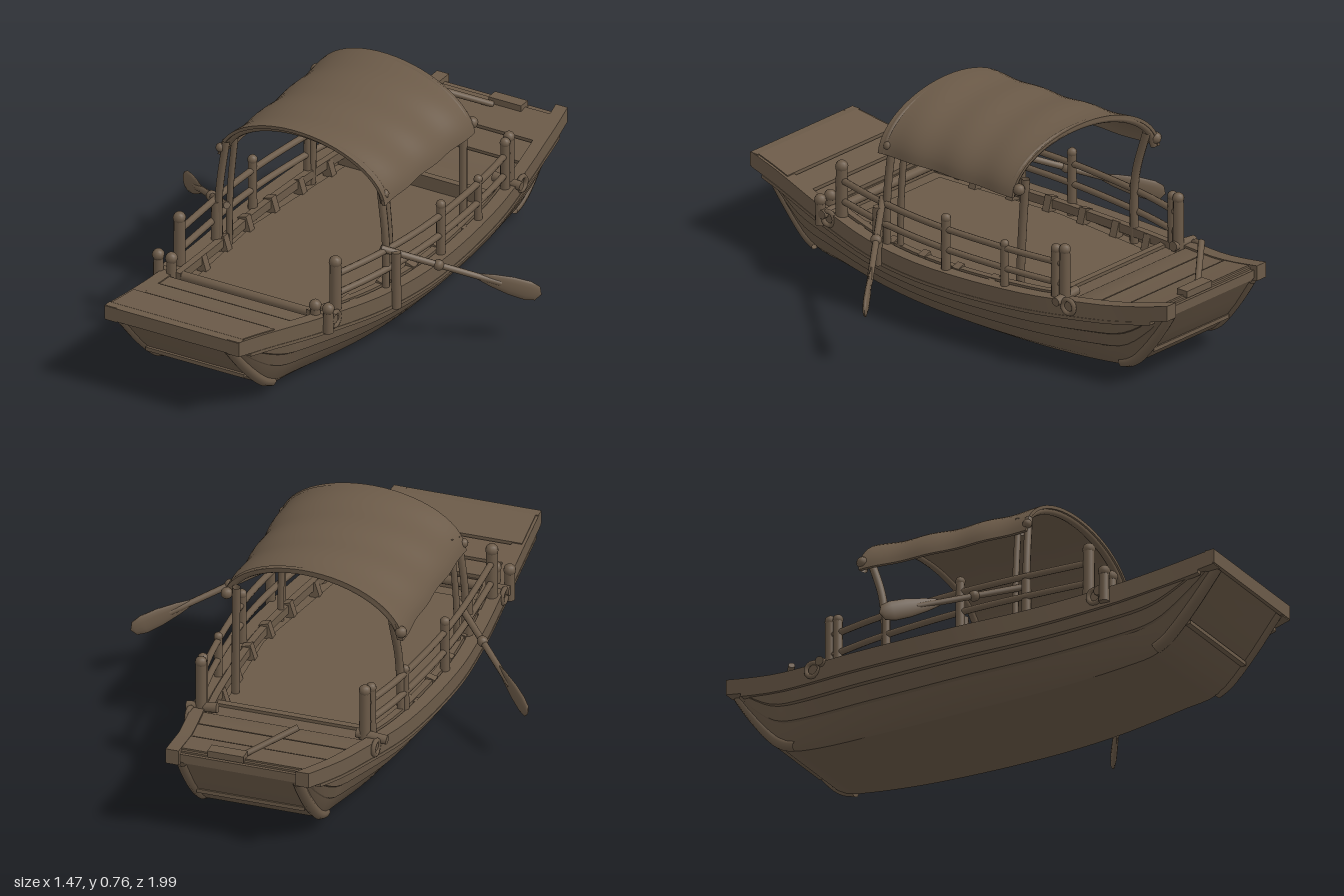
import * as THREE from 'three';
import { toCreasedNormals } from 'three/addons/utils/BufferGeometryUtils.js';

const V = (x, y, z) => new THREE.Vector3(x, y, z);

// Hull stations: z, left rim x, right rim x, rim y, keel y, half width of the flat bottom
const STATIONS = [
  [-0.98, -0.25, 0.27, 0.335, 0.29, 0.2],
  [-0.9, -0.27, 0.28, 0.315, 0.17, 0.2],
  [-0.8, -0.295, 0.29, 0.293, 0.06, 0.2],
  [-0.7, -0.32, 0.305, 0.278, 0.03, 0.2],
  [-0.4, -0.395, 0.345, 0.25, 0.006, 0.22],
  [0, -0.435, 0.355, 0.235, 0, 0.23],
  [0.3, -0.428, 0.315, 0.238, 0.004, 0.22],
  [0.6, -0.408, 0.235, 0.264, 0.02, 0.2],
  [0.74, -0.4, 0.195, 0.283, 0.04, 0.2],
  [0.85, -0.395, 0.165, 0.3, 0.13, 0.2],
  [0.98, -0.39, 0.14, 0.322, 0.28, 0.2],
];

// Smooth value of one station column at z
function at(z, col) {
  let i = 0;
  while (i < STATIONS.length - 2 && z > STATIONS[i + 1][0]) i++;
  const S = (k) => STATIONS[THREE.MathUtils.clamp(k, 0, STATIONS.length - 1)];
  const slope = (a, b) => (b[col] - a[col]) / (b[0] - a[0]);
  const p = S(i), q = S(i + 1), h = q[0] - p[0], t = (z - p[0]) / h;
  const m0 = slope(S(i - 1), q) * h, m1 = slope(p, S(i + 2)) * h;
  const t2 = t * t, t3 = t2 * t;
  return (2 * t3 - 3 * t2 + 1) * p[col] + (t3 - 2 * t2 + t) * m0 + (3 * t2 - 2 * t3) * q[col] + (t3 - t2) * m1;
}
const rimX = (z, s) => at(z, s > 0 ? 2 : 1);
const rimY = (z) => at(z, 3);
const deckY = (z) => (z > 0.6 || z < -0.5 ? rimY(z) - 0.012 : 0.2);

// Closed solid through rings of points (counter-clockwise seen from +z, running towards +z)
function loft(rings, crease = 0.5) {
  const n = rings[0].length, idx = [];
  for (let i = 0; i < rings.length - 1; i++)
    for (let j = 0; j < n; j++) {
      const k = (j + 1) % n, a = i * n + j, b = i * n + k;
      idx.push(a, b, b + n, a, b + n, a + n);
    }
  const cap = (r, base, flip) => {
    const flat = r.map((p) => new THREE.Vector2(p.x, p.y));
    for (const [a, b, c] of THREE.ShapeUtils.triangulateShape(flat, []))
      idx.push(base + a, base + (flip ? c : b), base + (flip ? b : c));
  };
  cap(rings[0], 0, true);
  cap(rings[rings.length - 1], (rings.length - 1) * n, false);
  const g = new THREE.BufferGeometry().setFromPoints(rings.flat());
  g.setIndex(idx);
  return toCreasedNormals(g, crease);
}

const rect = (x0, x1, y0, y1, z) => [V(x1, y0, z), V(x1, y1, z), V(x0, y1, z), V(x0, y0, z)];
const range = (a, b, n) => Array.from({ length: n + 1 }, (_, i) => a + ((b - a) * i) / n);

export function createModel() {
  const boat = new THREE.Group();
  boat.name = 'rowingBoat';
  const wood = new THREE.MeshStandardMaterial({ color: 0x6b5a48, side: THREE.DoubleSide });
  wood.name = 'weatheredWood';

  const add = (name, geo, parent = boat) => {
    const m = new THREE.Mesh(geo, wood);
    m.name = name;
    parent.add(m);
    return m;
  };
  const tube = (name, pts, r, seg = 24) =>
    add(name, new THREE.TubeGeometry(new THREE.CatmullRomCurve3(pts), seg, r, 8));
  const pole = (name, a, b, r) => {
    const d = b.clone().sub(a);
    const m = add(name, new THREE.CylinderGeometry(r * 0.92, r, d.length(), 10));
    m.position.copy(a).addScaledVector(d, 0.5);
    m.quaternion.setFromUnitVectors(V(0, 1, 0), d.normalize());
    return m;
  };
  const knob = (name, p, r) => add(name, new THREE.SphereGeometry(r, 10, 8)).position.copy(p);

  // Hull with stepped strakes, low bulwark and sunken middle deck
  const strakes = [[0, 0], [0.25, 0.1], [0.52, 0.34], [0.6, 0.36], [0.78, 0.56], [0.86, 0.58], [0.94, 0.78], [1, 0.8], [1, 1]];
  const hullZ = [...range(-0.98, 0.98, 56), -0.501, -0.499, 0.599, 0.601].sort((a, b) => a - b);
  add('hull', loft(hullZ.map((z) => {
    const l = rimX(z, -1), r = rimX(z, 1), c = (l + r) / 2, hw = (r - l) / 2;
    const top = rimY(z), keel = at(z, 4), hb = at(z, 5), d = Math.max(deckY(z), keel + 0.015);
    const side = (s) => strakes.map(([w, h]) => V(c + s * (hb + (hw - hb) * w), keel + (top - keel) * h, z));
    return [...side(1), V(r - 0.035, top, z), V(r - 0.045, d, z), V(l + 0.045, d, z), V(l + 0.035, top, z), ...side(-1).reverse()];
  }), 0.45));

  // Deck boards: bow boards lie flush over the gunwales, stern boards between them
  const board = (name, z0, z1, lift, inset) => add(name, loft(range(z0, z1, 2).map((z) =>
    rect(rimX(z, -1) + inset, rimX(z, 1) - inset, deckY(z) - 0.01, deckY(z) + lift, z))));
  [[0.605, 0.68, 0.04], [0.69, 0.79, 0.035], [0.8, 0.96, 0.008]].forEach(([a, b, inset], i) =>
    board('bowBoard', a, b, 0.014 + 0.004 * i, inset));
  [[-0.68, -0.49], [-0.8, -0.69], [-0.95, -0.81]].forEach(([a, b], i) =>
    board('sternBoard', a, b, 0.01 + 0.003 * i, 0.04));
  board('middleBoard', -0.48, 0.55, 0.004, 0.075);

  for (const s of [-1, 1]) {
    // Gunwale beam, extended past both ends, and a rubbing strake below it
    const beam = (name, z0, z1, a, b, y0, y1) => add(name, loft(range(z0, z1, 30).map((z) => {
      const x = rimX(z, s), p = x - s * a, q = x - s * b;
      return rect(Math.min(p, q), Math.max(p, q), rimY(z) + y0, rimY(z) + y1, z);
    })));
    beam('gunwale', -0.998, 0.99, -0.002, 0.045, -0.05, 0.006);
    beam('rubbingStrake', -0.93, 0.93, -0.004, 0.02, -0.062, -0.05);
    beam('innerRail', -0.56, 0.58, 0.05, 0.075, -0.02, 0.012);

    // Curved corner timbers where the bottom rises at bow and stern
    for (const [z0, z1] of [[0.72, 0.97], [-0.74, -0.97]])
      tube('cornerTimber', range(z0, z1, 6).map((z) =>
        V((rimX(z, 1) + rimX(z, -1)) / 2 + s * (at(z, 5) + 0.01), at(z, 4) + 0.016, z)), 0.021);

    // Railing posts and two rails
    const railX = (z) => rimX(z, s) - s * (s > 0 ? 0.03 : THREE.MathUtils.mapLinear(z, 0.5, -0.53, 0.03, 0.06));
    const mid = s > 0 ? -0.05 : 0;
    for (const [z, top, r] of [[0.5, 0.445, 0.022], [mid, 0.435, 0.017], [-0.31, 0.41, 0.015], [-0.525, 0.445, 0.018], [-0.56, 0.45, 0.02]]) {
      pole('railPost', V(railX(z), 0.2, z), V(railX(z), top, z), r);
      knob('postCap', V(railX(z), top - 0.005, z), r * 1.05);
    }
    for (const y of [0.315, 0.39])
      tube('rail', range(-0.56, 0.5, 6).map((z) => V(railX(z), y, z)), 0.012);

    // Knees against the bulwark
    for (const z of range(-0.4, 0.4, 5)) {
      const k = add('knee', new THREE.BoxGeometry(0.035, 0.07, 0.03));
      k.position.set(rimX(z, s) - s * 0.07, 0.22, z);
      k.rotation.z = s * -0.3;
    }

    // Mooring posts, lashed logs and rope rings
    for (const dx of [-0.012, 0.04]) {
      const x = rimX(0.58, s) - s * dx, top = s > 0 ? 0.3 : 0.325;
      pole('mooringPost', V(x, 0.21, 0.58), V(x, top, 0.58), 0.019);
      knob('mooringCap', V(x, top, 0.58), 0.022);
    }
    const ex = rimX(-0.56, s);
    pole('sternLog', V(ex - s * 0.09, 0.275, -0.56), V(ex + s * 0.02, 0.265, -0.56), 0.018);
    for (const z of [0.54, -0.6]) {
      const ring = add('ropeRing', new THREE.TorusGeometry(0.026, 0.009, 6, 14));
      ring.position.set(rimX(z, s) + s * 0.004, rimY(z) - 0.015, z);
      ring.rotation.y = Math.PI / 2;
    }

    // Oar post, oar with flat blade
    const px = s > 0 ? 0.33 : -0.385;
    pole('oarPost', V(px, 0.175, 0.255), V(px, 0.39, 0.255), 0.018);
    const grip = s > 0 ? V(0.28, 0.4, 0.275) : V(-0.35, 0.375, 0.24);
    const tip = s > 0 ? V(0.735, 0.2, -0.035) : V(-0.735, 0.2, -0.125);
    const dir = tip.clone().sub(grip), len = dir.length();
    dir.normalize();
    const oar = new THREE.Group();
    oar.name = 'oar';
    const thin = dir.clone().cross(V(0, 1, 0)).normalize();
    oar.quaternion.setFromRotationMatrix(new THREE.Matrix4().makeBasis(dir.clone().cross(thin), dir, thin));
    oar.position.copy(grip);
    boat.add(oar);
    add('oarShaft', new THREE.CylinderGeometry(0.011, 0.013, len * 0.75, 8), oar).position.y = len * 0.375;
    add('oarCollar', new THREE.SphereGeometry(0.02, 10, 8), oar).position.y = len * 0.36;
    const profile = [[0, 0], [0.013, 0.005], [0.024, 0.05], [0.035, 0.12], [0.037, 0.18], [0.028, 0.215], [0, 0.23]];
    const blade = add('oarBlade', new THREE.LatheGeometry(profile.map(([x, y]) => new THREE.Vector2(x, y)), 14), oar);
    blade.position.y = len - 0.23;
    blade.scale.z = 0.3;
  }

  // Cross timbers at bow, stern and deck steps
  const cross = (name, z, x0, x1, y, h, d) =>
    add(name, new THREE.BoxGeometry(x1 - x0, h, d)).position.set((x0 + x1) / 2, y, z);
  cross('bowBeam', 0.975, -0.392, 0.142, 0.303, 0.05, 0.035);
  cross('sternBeam', -0.945, -0.23, 0.25, 0.305, 0.04, 0.03);
  cross('bowPanelStrip', 0.845, -0.31, 0.08, 0.118, 0.014, 0.02);
  cross('sternPanelStrip', -0.87, -0.19, 0.2, 0.13, 0.014, 0.02);
  pole('bowLog', V(-0.43, 0.255, 0.56), V(0.27, 0.255, 0.56), 0.018);
  cross('sternStep', -0.485, -0.33, 0.29, 0.23, 0.05, 0.025);

  // Steering pole and its block on the stern
  pole('steeringPole', V(-0.14, 0.4, -0.8), V(0.02, 0.325, -0.92), 0.012);
  cross('steeringBlock', -0.945, 0, 0.13, 0.335, 0.025, 0.045);

  // Arched canopy cloth with gentle sag
  const arch = (a, grow, z) => V(-0.04 - (0.335 + grow) * Math.cos(a), 0.56 + (0.19 + grow) * Math.sin(a), z);
  const angles = range(0.06, Math.PI - 0.06, 28);
  const backZ = (a) => -0.365 - 0.04 * Math.cos(a);
  const frontZ = (a) => 0.265 - 0.015 * Math.cos(a);
  add('canopy', loft(range(0, 1, 24).map((t) => {
    const point = (thick) => (a) => {
      const sag = 0.003 * Math.sin(t * 19 + a * 2) - 0.006 * Math.sin(t * Math.PI);
      return arch(a, thick + sag, THREE.MathUtils.lerp(backZ(a), frontZ(a), t));
    };
    return [...angles.map(point(0.006)), ...angles.map(point(-0.006)).reverse()].reverse();
  }), 0.9));

  // Canopy hoops and their uprights
  for (const [name, edge, dz] of [['frontHoop', frontZ, -0.02], ['backHoop', backZ, 0.015]])
    tube(name, range(0.06, Math.PI - 0.06, 14).map((a) => arch(a, -0.008, edge(a) + dz)), 0.013, 40);
  for (const s of [-1, 1]) {
    const x = (v) => -0.045 + s * v;
    tube('frontUpright', [V(x(0.33), 0.19, 0.25), V(x(0.33), 0.42, 0.25), V(x(0.305), 0.63, 0.245)], 0.014);
    tube('frontUpright', [V(x(0.32), 0.19, 0.2), V(x(0.315), 0.42, 0.2), V(x(0.295), 0.64, 0.2)], 0.012);
    tube('backUpright', [V(x(0.3), 0.19, -0.32), V(x(0.295), 0.45, -0.33), V(x(0.29), 0.63, s > 0 ? -0.34 : -0.385)], 0.015);
    knob('hoopLashing', V(x(0.325), 0.6, s > 0 ? -0.34 : -0.395), 0.021);
    knob('hoopLashing', V(x(0.325), 0.6, 0.25), 0.017);
  }
  return boat;
}
